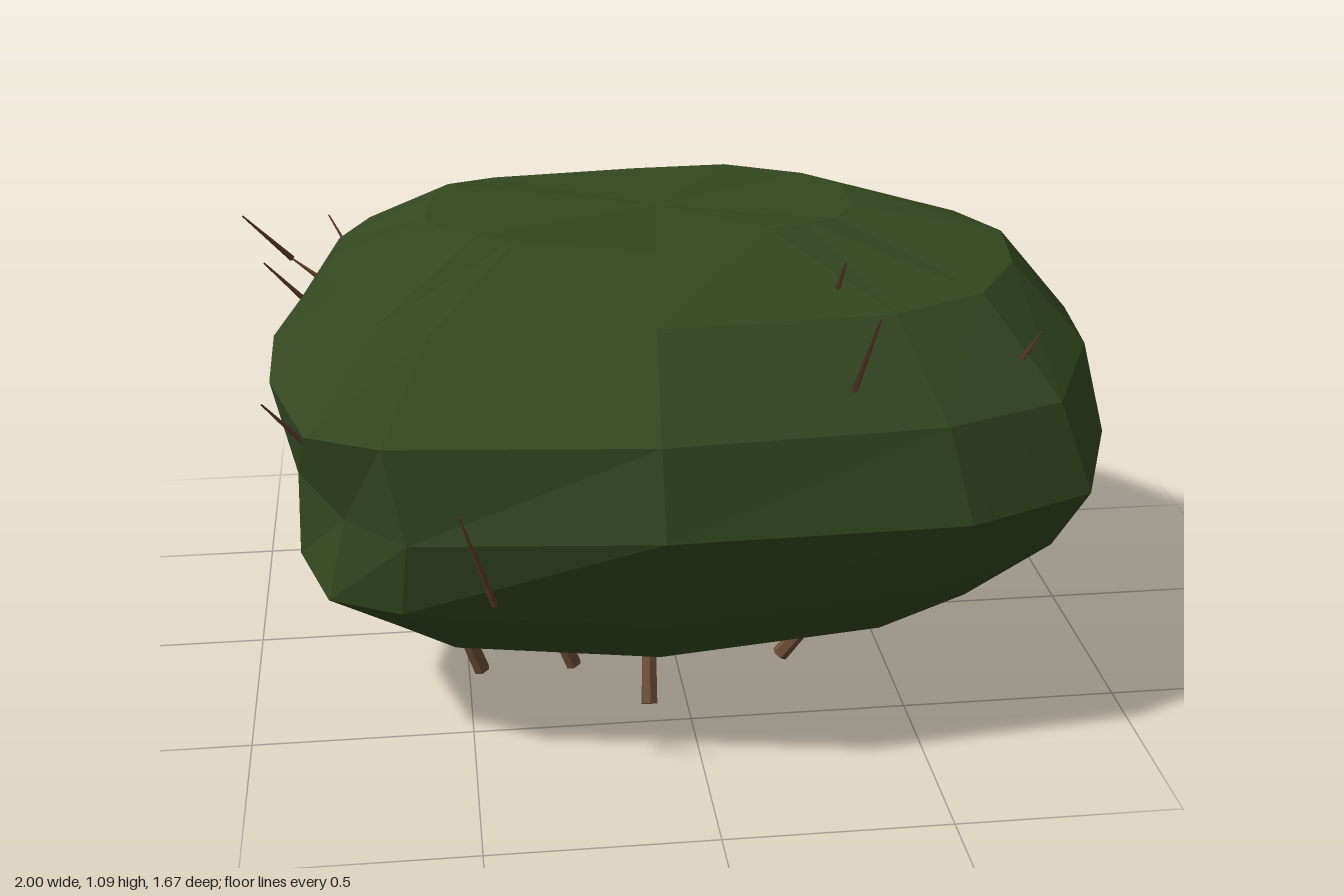
import * as THREE from 'three';

const foliage = new THREE.MeshStandardMaterial({ color: 0x344720, flatShading: true });
foliage.name = 'foliage green';
const stemBrown = new THREE.MeshStandardMaterial({ color: 0x6a4e36, flatShading: true });
stemBrown.name = 'stem brown';
const twigBrown = new THREE.MeshStandardMaterial({ color: 0x623f2a, flatShading: true });
twigBrown.name = 'twig brown';

// Plan outline of the widest level, clockwise from above: x, z
const outline = [
  [-0.62, -0.70], [-0.06, -0.74], [0.41, -0.74], [0.81, -0.59], [0.97, -0.32],
  [1.00, 0.03], [0.99, 0.27], [0.87, 0.58], [0.57, 0.73], [-0.10, 0.82],
  [-0.67, 0.68], [-0.82, 0.56], [-0.92, 0.31], [-0.92, 0.03], [-0.89, -0.28], [-0.81, -0.50],
];
const outlineSize = [0.92, 1.0, 0.74, 0.82]; // -x, +x, -z, +z

// Each level: height, reach towards -x, +x, -z, +z, how far its corners
// bulge (-x-z, +x-z, -x+z, +x+z) and how much they sag
const levels = [
  { y: 0.08, reach: [0.50, 0.43, 0.34, 0.33], corners: [0, 0, 0, 0], sag: 0 },
  { y: 0.20, reach: [0.71, 0.79, 0.53, 0.55], corners: [0, -0.02, 0.03, -0.02], sag: 0 },
  { y: 0.375, reach: [0.835, 1.00, 0.67, 0.72], corners: [0, -0.05, 0.09, -0.03], sag: 0 },
  { y: 0.595, reach: [0.88, 1.00, 0.74, 0.83], corners: [0.02, 0.03, -0.01, 0.03], sag: 0.035 },
  { y: 0.81, reach: [0.92, 0.97, 0.73, 0.78], corners: [-0.05, -0.03, 0.03, -0.02], sag: 0.05 },
  { y: 0.98, reach: [0.78, 0.82, 0.56, 0.55], corners: [0.02, -0.08, 0, -0.05], sag: 0.035 },
  { y: 1.07, reach: [0.57, 0.45, 0.33, 0.31], corners: [0, 0.03, -0.12, -0.22], sag: 0 },
];

function wobble(i, j) {
  const s = Math.sin(i * 12.99 + j * 78.23) * 43758.5;
  return (s - Math.floor(s)) * 2 - 1;
}

// Lumpy faceted bush lofted through the levels
function bushGeometry() {
  const n = outline.length;
  const pos = [];
  const index = [];
  levels.forEach(({ y, reach, corners, sag }, j) => {
    outline.forEach(([x, z], i) => {
      const east = x < 0 ? 0 : 1;
      const front = z < 0 ? 0 : 1;
      const u = x / outlineSize[east];
      const v = z / outlineSize[2 + front];
      const corner = Math.min(1, 1.6 * Math.abs(u * v));
      const k = 1 + corners[east + 2 * front] * corner - 0.012 * (1 + wobble(i, j));
      const lift = 0.014 * wobble(i + 5, j + 3) - sag * corner;
      pos.push(u * reach[east] * k, y + lift, v * reach[2 + front] * k);
    });
  });
  const bottom = pos.length / 3;
  pos.push(-0.08, 0.035, 0.05);
  pos.push(-0.02, 1.07, -0.02);
  const last = (levels.length - 1) * n;
  for (let i = 0; i < n; i++) {
    const m = (i + 1) % n;
    for (let j = 0; j < levels.length - 1; j++) {
      const a = j * n + i, b = j * n + m;
      index.push(b, a, a + n, b, a + n, b + n);
    }
    index.push(i, m, bottom);
    index.push(last + m, last + i, bottom + 1);
  }
  const g = new THREE.BufferGeometry();
  g.setAttribute('position', new THREE.Float32BufferAttribute(pos, 3));
  g.setIndex(index);
  g.computeVertexNormals();
  return g;
}

// Tapered stick between two points
function stick(name, from, to, r0, r1, sides, material) {
  const a = new THREE.Vector3(...from);
  const b = new THREE.Vector3(...to);
  const dir = b.clone().sub(a);
  const mesh = new THREE.Mesh(new THREE.CylinderGeometry(r1, r0, dir.length(), sides), material);
  mesh.position.copy(a).add(b).multiplyScalar(0.5);
  mesh.quaternion.setFromUnitVectors(new THREE.Vector3(0, 1, 0), dir.normalize());
  mesh.name = name;
  return mesh;
}

export function createModel() {
  const group = new THREE.Group();
  group.name = 'bush';

  const body = new THREE.Mesh(bushGeometry(), foliage);
  body.name = 'foliage';
  group.add(body);

  // Stems reaching the ground: foot, then top inside the foliage
  const stems = [
    [[-0.09, 0.005, 0.44], [-0.08, 0.17, 0.34]],
    [[0.25, 0.005, 0.24], [0.37, 0.17, 0.26]],
    [[0.27, 0.005, -0.15], [0.37, 0.17, -0.14]],
    [[-0.47, 0.005, 0.23], [-0.53, 0.18, 0.25]],
    [[-0.46, 0.005, -0.15], [-0.52, 0.18, -0.12]],
    [[-0.25, 0.005, 0.23], [-0.31, 0.16, 0.24]],
    [[-0.09, 0.005, 0.06], [-0.08, 0.14, -0.02]],
  ];
  stems.forEach(([a, b]) => group.add(stick('stem', a, b, 0.02, 0.017, 6, stemBrown)));

  // Thin twigs poking out of the foliage: root, then tip
  const twigs = [
    [[-0.45, 0.43, 0.72], [-0.52, 0.69, 0.83]],
    [[0.33, 0.82, 0.60], [0.335, 1.08, 0.83]],
    [[0.33, 0.96, 0.37], [0.335, 1.08, 0.47]],
    [[0.73, 0.82, 0.46], [0.76, 0.92, 0.52]],
    [[-0.80, 0.78, -0.38], [-0.89, 0.84, -0.42]],
    [[-0.89, 0.84, -0.42], [-1.00, 0.97, -0.37]],
    [[-0.82, 0.70, 0.48], [-0.92, 0.83, 0.52]],
    [[-0.68, 0.63, -0.65], [-0.81, 0.82, -0.84]],
    [[-0.82, 0.84, -0.03], [-0.93, 0.97, 0.0]],
  ];
  twigs.forEach(([a, b]) => group.add(stick('twig', a, b, 0.008, 0.002, 4, twigBrown)));

  return group;
}
